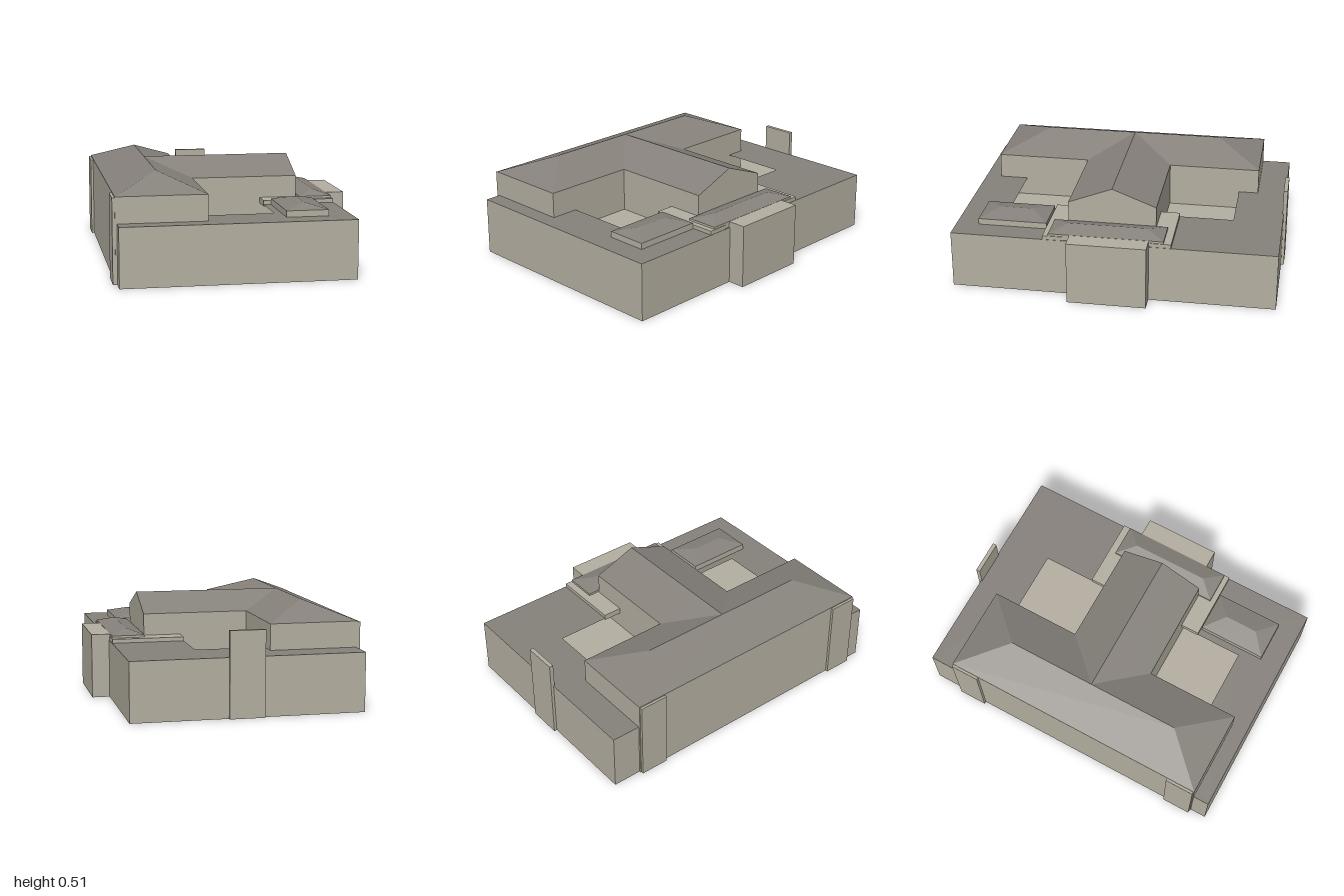
import * as THREE from 'three';

export function createModel() {
  const model = new THREE.Group();
  model.name = 'building';
  // The plan is laid out square, then turned on its site
  const plan = new THREE.Group();
  plan.name = 'plan';
  plan.rotation.y = -0.506;
  model.add(plan);

  const wall = new THREE.MeshStandardMaterial({ color: 0xb3aea0 });
  wall.name = 'beige wall';
  const roof = new THREE.MeshStandardMaterial({ color: 0x86817b });
  roof.name = 'grey roof';

  const add = (name, geometry, material) => {
    const mesh = new THREE.Mesh(geometry, material);
    mesh.name = name;
    plan.add(mesh);
    return mesh;
  };

  // Box given by its limits
  const block = (name, x0, x1, y0, y1, z0, z1, material = wall) => {
    const g = new THREE.BoxGeometry(x1 - x0, y1 - y0, z1 - z0);
    g.translate((x0 + x1) / 2, (y0 + y1) / 2, (z0 + z1) / 2);
    return add(name, g, material);
  };

  // Flat faces from corner lists, counter-clockwise from outside
  const faces = (name, list, material) => {
    const p = [];
    for (const f of list)
      for (let i = 1; i < f.length - 1; i++) p.push(...f[0], ...f[i], ...f[i + 1]);
    const g = new THREE.BufferGeometry();
    g.setAttribute('position', new THREE.Float32BufferAttribute(p, 3));
    g.computeVertexNormals();
    return add(name, g, material);
  };

  // Hip roof with its ridge along z
  const hipRoof = (name, x0, x1, z0, z1, y0, y1, inset) => {
    const xm = (x0 + x1) / 2;
    const a = [x0, y0, z0], b = [x1, y0, z0], c = [x1, y0, z1], d = [x0, y0, z1];
    const r0 = [xm, y1, z0 + inset], r1 = [xm, y1, z1 - inset];
    faces(name, [[a, d, r1, r0], [c, b, r0, r1], [b, a, r0], [d, c, r1]], roof);
  };

  // Ground floor: solid lower part, then a top layer pierced by two courtyards
  const W = 0.578, L = 0.821, FLOOR = 0.2, TOP = 0.295, EAVE = 0.425, RIDGE = 0.512;
  block('lowerStorey', -W, W, 0, FLOOR, -L, L);
  const rect = (Type, x0, x1, z0, z1) => {
    const s = new Type();
    s.moveTo(x0, -z0);
    s.lineTo(x1, -z0);
    s.lineTo(x1, -z1);
    s.lineTo(x0, -z1);
    s.closePath();
    return s;
  };
  const deck = rect(THREE.Shape, -W, W, -L, L);
  deck.holes.push(rect(THREE.Path, -0.14, 0.211, -0.57, -0.197));
  deck.holes.push(rect(THREE.Path, -0.14, 0.211, 0.252, 0.592));
  const deckGeometry = new THREE.ExtrudeGeometry(deck, { depth: TOP - FLOOR, bevelEnabled: false });
  deckGeometry.rotateX(-Math.PI / 2);
  deckGeometry.translate(0, FLOOR, 0);
  add('flatRoofWithCourtyards', deckGeometry, [roof, wall]);

  // Upper storey: long block along the back and a wing towards the front
  block('upperLongBlock', -0.587, -0.14, 0, EAVE, -0.672, 0.738);
  block('upperWing', -0.15, 0.4, FLOOR, EAVE, -0.197, 0.252);
  hipRoof('longBlockRoof', -0.587, -0.14, -0.672, 0.738, EAVE, RIDGE, 0.235);

  // Wing roof runs into the long roof and ends in a gable
  const zm = 0.0275, xs = -0.363, xe = 0.4;
  const n0 = [xs, EAVE, -0.197], n1 = [xe, EAVE, -0.197];
  const s0 = [xs, EAVE, 0.252], s1 = [xe, EAVE, 0.252];
  const k0 = [xs, RIDGE, zm], k1 = [xe, RIDGE, zm];
  faces('wingRoof', [[s0, s1, k1, k0], [n1, n0, k0, k1]], roof);
  faces('wingGable', [[s1, n1, k1]], wall);

  // Covered passages either side of the wing
  block('rearPassage', 0.211, 0.576, TOP - 0.01, 0.315, -0.295, -0.19);
  block('frontPassage', 0.211, 0.576, TOP - 0.01, 0.315, 0.245, 0.35);

  // Low roofs on shallow walls
  for (const [name, x0, x1, z0, z1] of [
    ['entrance', 0.405, 0.572, -0.257, 0.322],
    ['corner', 0.248, 0.459, 0.354, 0.706],
  ]) {
    block(name + 'LowWall', x0, x1, TOP - 0.01, 0.326, z0, z1);
    hipRoof(name + 'LowRoof', x0, x1, z0, z1, 0.326, 0.352, 0.09);
  }

  // Porch, side chimney plate and pilasters on the back wall
  block('porch', 0.57, 0.667, 0, 0.325, -0.184, 0.214);
  block('chimneyPlate', -0.075, 0.1, 0, EAVE, -0.836, -0.815);
  block('backPilaster', -0.6, -0.58, 0, 0.42, -0.668, -0.52);
  block('backPilaster', -0.6, -0.58, 0, 0.42, 0.585, 0.734);

  return model;
}
